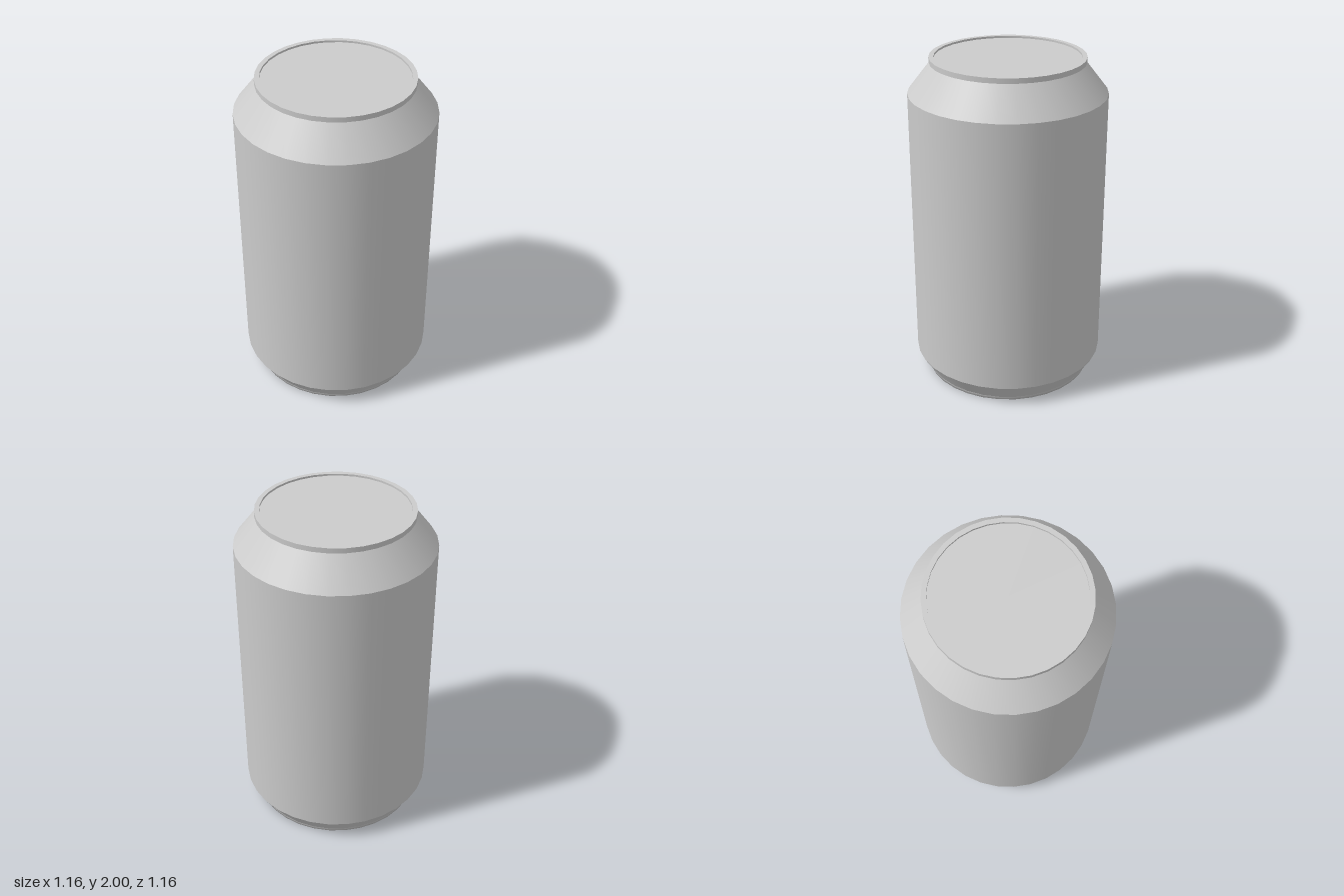
import * as THREE from 'three';

const SIDES = 32;
const material = new THREE.MeshStandardMaterial({ color: 0xcccccc });

// Revolve a short profile of [radius, height] points; smooth within one part
function turned(name, profile) {
  const points = profile.map(([r, y]) => new THREE.Vector2(r, y));
  const mesh = new THREE.Mesh(new THREE.LatheGeometry(points, SIDES), material);
  mesh.name = name;
  return mesh;
}

export function createModel() {
  const can = new THREE.Group();
  can.name = 'drinkCan';

  // Separate bands keep the edges between them sharp
  can.add(
    turned('base', [[0, 0], [0.51, 0], [0.513, 0.02]]),
    turned('lowerTaper', [[0.513, 0.02], [0.58, 0.125]]),
    turned('body', [[0.58, 0.125], [0.58, 1.79]]),
    turned('shoulder', [[0.58, 1.79], [0.44, 1.97]])
  );

  // Rim overhangs the neck slightly and surrounds the sunken lid
  const rim = new THREE.Group();
  rim.name = 'rim';
  rim.add(
    turned('rimUnderside', [[0.44, 1.97], [0.452, 1.97]]),
    turned('rimOuterWall', [[0.452, 1.97], [0.452, 2]]),
    turned('rimTop', [[0.452, 2], [0.424, 2]]),
    turned('rimInnerWall', [[0.424, 2], [0.424, 1.988]])
  );
  can.add(rim, turned('lid', [[0.424, 1.988], [0, 1.988]]));

  return can;
}
